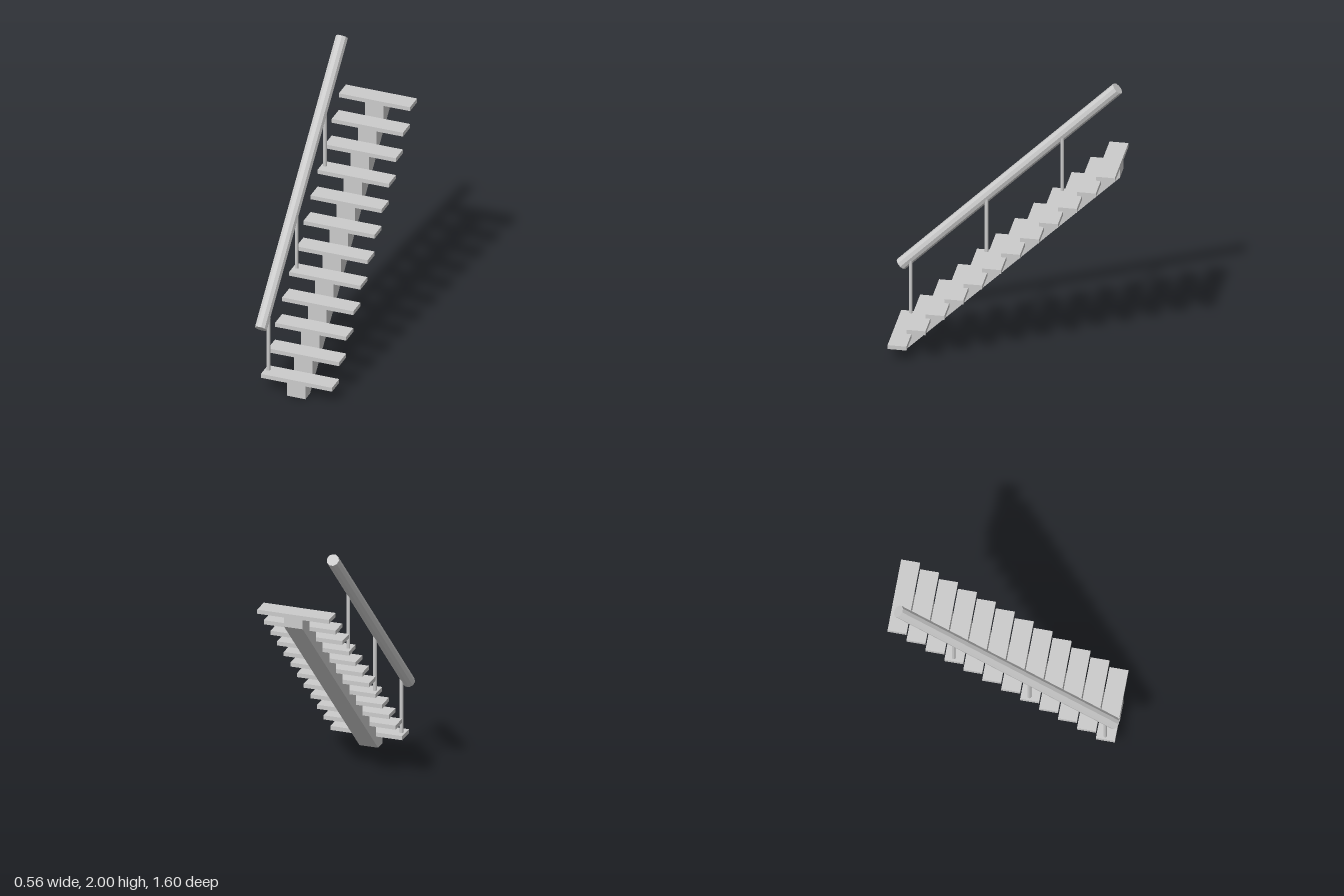
import * as THREE from 'three';

export function createModel() {
  const model = new THREE.Group();
  model.name = 'staircase';
  const material = new THREE.MeshStandardMaterial({ color: 0xcccccc, flatShading: true });
  const add = (name, geometry, x, y, z) => {
    const mesh = new THREE.Mesh(geometry, material);
    mesh.name = name;
    mesh.position.set(x, y, z);
    model.add(mesh);
    return mesh;
  };

  const steps = 12, rise = 0.13, thick = 0.03;
  const front = 0.768, back = -0.8, run = (front - back) / steps;

  // Treads
  for (let i = 0; i < steps; i++) {
    add('tread' + (i + 1), new THREE.BoxGeometry(0.52, thick, run),
      0.02, rise * (i + 1) - thick / 2, front - run * (i + 0.5));
  }

  // Central saw-tooth stringer, drawn in (-z, y) and extruded across x
  const profile = new THREE.Shape();
  profile.moveTo(-0.68, 0);
  profile.lineTo(-back, 1.463);
  for (let i = steps - 1; i >= 0; i--) {
    const y = rise * (i + 1) - thick;
    profile.lineTo(-front + run * (i + 1), y);
    profile.lineTo(-front + run * i, y);
  }
  profile.lineTo(-front, 0);
  profile.closePath();
  const stringer = new THREE.ExtrudeGeometry(profile, { depth: 0.135, bevelEnabled: false });
  stringer.rotateY(Math.PI / 2);
  add('stringer', stringer, -0.05, 0, 0);

  // Sloping ten-sided handrail
  const low = new THREE.Vector3(-0.24, 0.483, 0.768);
  const high = new THREE.Vector3(-0.24, 1.972, -0.725);
  const slope = high.clone().sub(low);
  const railGeometry = new THREE.CylinderGeometry(0.0437, 0.0437, slope.length(), 10);
  railGeometry.rotateY(Math.PI / 2); // a flat faces up
  const rail = add('handrail', railGeometry, ...low.clone().add(high).multiplyScalar(0.5).toArray());
  rail.quaternion.setFromUnitVectors(new THREE.Vector3(0, 1, 0), slope.clone().normalize());

  // Posts on every fourth tread, ending inside the rail
  for (let i = 0; i < 3; i++) {
    const z = 0.697 - 4 * run * i;
    const base = rise * (4 * i + 1);
    const top = low.y + (low.z - z) * (slope.y / -slope.z) - 0.02;
    add('post' + (i + 1), new THREE.CylinderGeometry(0.013, 0.013, top - base, 10),
      -0.213, (top + base) / 2, z);
  }
  return model;
}
